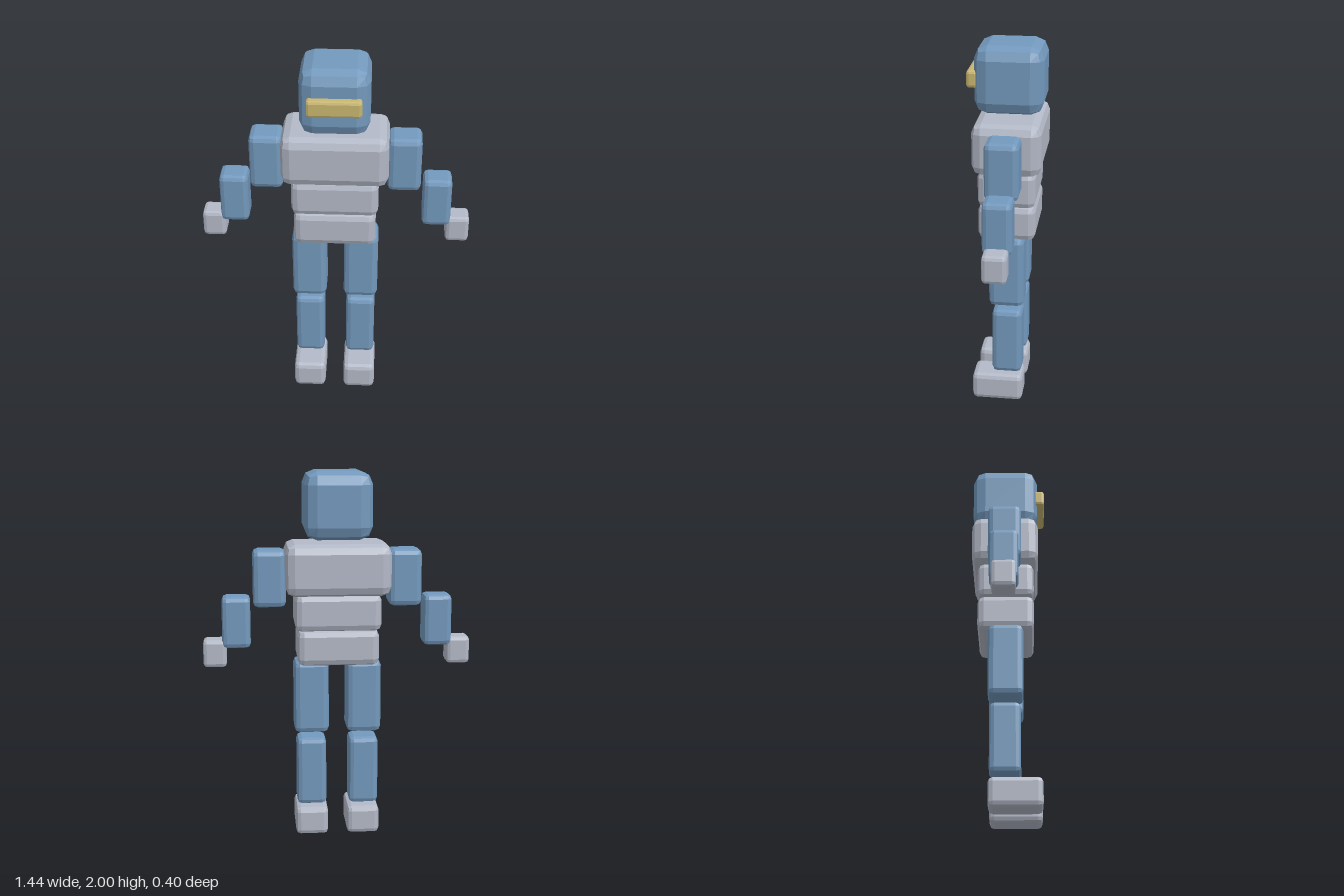
import * as THREE from 'three';
import { RoundedBoxGeometry } from 'three/addons/geometries/RoundedBoxGeometry.js';

const material = (name, color) => {
  const m = new THREE.MeshStandardMaterial({ color, flatShading: true });
  m.name = name;
  return m;
};

// Block with a two-facet bevel, given by its extents on each axis
function block(name, mat, [x0, x1], [y0, y1], [z0, z1], bevel) {
  const geometry = new RoundedBoxGeometry(x1 - x0, y1 - y0, z1 - z0, 1, bevel);
  const mesh = new THREE.Mesh(geometry, mat);
  mesh.position.set((x0 + x1) / 2, (y0 + y1) / 2, (z0 + z1) / 2);
  mesh.name = name;
  return mesh;
}

export function createModel() {
  const model = new THREE.Group();
  model.name = 'blockRobot';
  const blue = material('steelBlue', 0x7399bd);
  const grey = material('paleGrey', 0xb3b9c7);
  const gold = material('visorGold', 0xc9b670);

  // Head and torso
  model.add(
    block('head', blue, [-0.18, 0.18], [1.645, 2.0], [-0.2, 0.16], 0.068),
    block('visor', gold, [-0.14, 0.14], [1.78, 1.87], [0.14, 0.2], 0.015),
    block('chest', grey, [-0.28, 0.28], [1.35, 1.625], [-0.2, 0.16], 0.05),
    block('abdomen', grey, [-0.23, 0.23], [1.16, 1.36], [-0.168, 0.135], 0.035),
    block('pelvis', grey, [-0.218, 0.218], [0.975, 1.168], [-0.168, 0.135], 0.035)
  );

  // Left limb parts: name, material, x, y, z extents, bevel
  const limbs = [
    ['UpperArm', blue, [0.275, 0.45], [1.285, 1.588], [-0.107, 0.068], 0.028],
    ['Forearm', blue, [0.465, 0.617], [1.065, 1.34], [-0.095, 0.055], 0.025],
    ['Hand', grey, [0.595, 0.72], [0.96, 1.108], [-0.082, 0.043], 0.02],
    ['Thigh', blue, [0.048, 0.235], [0.59, 0.99], [-0.11, 0.077], 0.03],
    ['Shin', blue, [0.062, 0.222], [0.177, 0.555], [-0.1, 0.062], 0.026],
    ['Foot', grey, [0.052, 0.23], [0, 0.155], [-0.105, 0.173], 0.026]
  ];
  for (const [name, mat, [x0, x1], y, z, bevel] of limbs) {
    model.add(
      block('left' + name, mat, [x0, x1], y, z, bevel),
      block('right' + name, mat, [-x1, -x0], y, z, bevel)
    );
  }
  return model;
}
